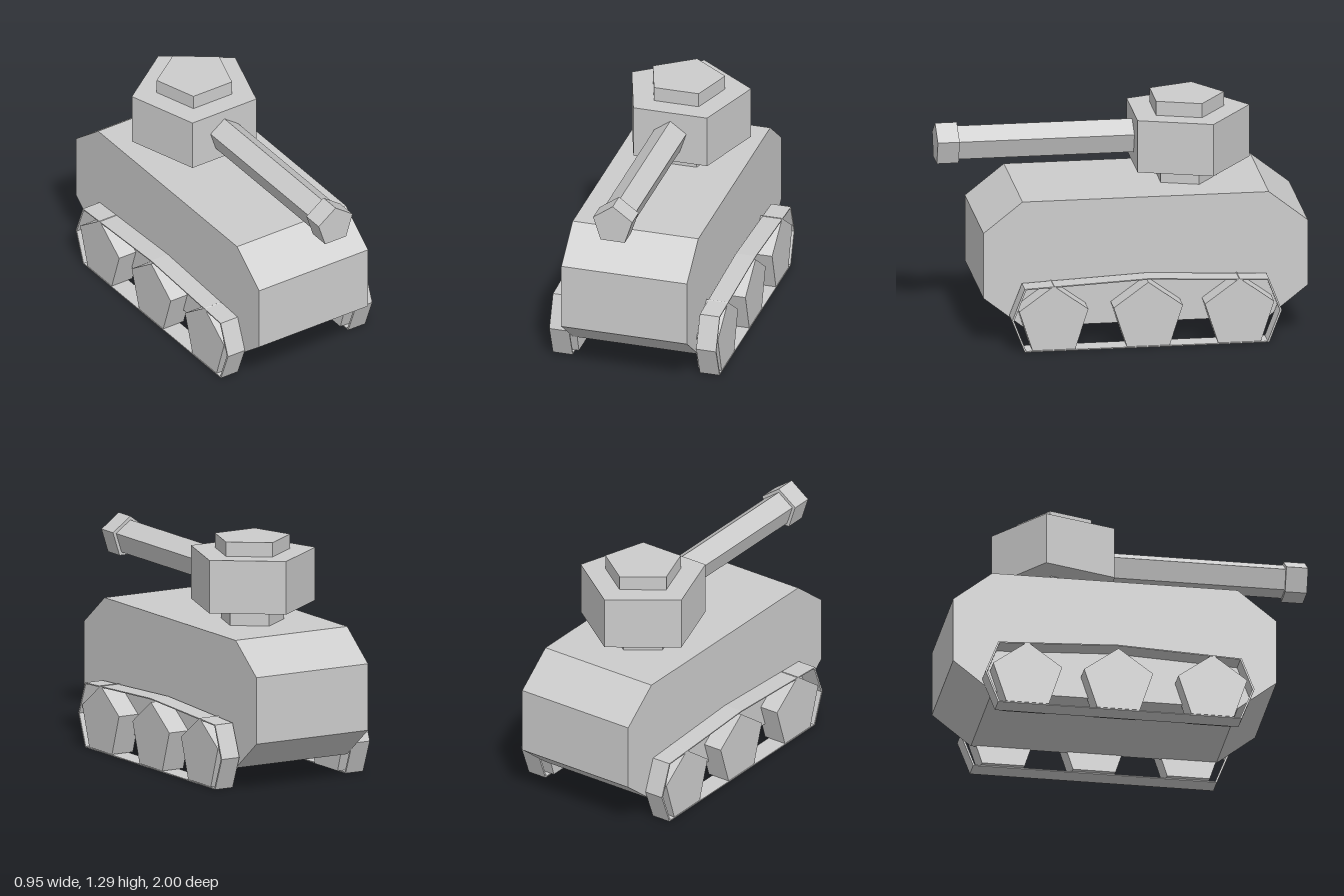
import * as THREE from 'three';

const material = new THREE.MeshStandardMaterial({ color: 0xcccccc, flatShading: true });

function addMesh(parent, name, geometry, x = 0, y = 0, z = 0) {
  const mesh = new THREE.Mesh(geometry, material);
  mesh.name = name;
  mesh.position.set(x, y, z);
  parent.add(mesh);
  return mesh;
}

const points = (list) => list.map(([a, b]) => new THREE.Vector2(a, b));

// Extrudes a side profile of [z, y] points along x, centred on x = 0
function sideExtrude(profile, width, hole) {
  const shape = new THREE.Shape(points(profile));
  if (hole) shape.holes.push(new THREE.Path(points(hole)));
  const geometry = new THREE.ExtrudeGeometry(shape, { depth: width, bevelEnabled: false });
  return geometry.translate(0, 0, -width / 2).rotateY(-Math.PI / 2);
}

// Five-sided prisms: upright ones point backwards, the others point up
const prism = (radius, length) => new THREE.CylinderGeometry(radius, radius, length, 5);
const uprightPrism = (r, h) => prism(r, h).rotateY(Math.PI);
const forwardPrism = (r, l) => prism(r, l).rotateX(-Math.PI / 2);
const sidewaysPrism = (r, w) => forwardPrism(r, w).rotateY(Math.PI / 2);

export function createModel() {
  const tank = new THREE.Group();
  tank.name = 'tank';
  const cx = -0.006;

  // Hull with chamfered nose and tail
  const hull = [
    [0.57, 0.11], [0.785, 0.28], [0.785, 0.65], [0.57, 0.82],
    [-0.785, 0.82], [-1, 0.65], [-1, 0.28], [-0.785, 0.11],
  ];
  addMesh(tank, 'hull', sideExtrude(hull, 0.715), cx);

  // Turret stack
  const turret = new THREE.Group();
  turret.name = 'turret';
  turret.position.set(cx, 0, -0.373);
  tank.add(turret);
  addMesh(turret, 'turretNeck', uprightPrism(0.181, 0.115), 0, 0.8675);
  addMesh(turret, 'turretBody', uprightPrism(0.357, 0.295), 0, 1.0625);
  addMesh(turret, 'hatch', uprightPrism(0.216, 0.09), 0, 1.245);

  // Gun
  const gun = new THREE.Group();
  gun.name = 'gun';
  gun.position.set(cx, 1.063, 0);
  tank.add(gun);
  addMesh(gun, 'barrel', forwardPrism(0.096, 1.06), 0, 0, 0.37);
  addMesh(gun, 'muzzle', forwardPrism(0.117, 0.12), 0, 0, 0.94);

  // Thin track loops with three wheels inside each
  const trackOuter = [
    [0.575, 0], [0.645, 0.18], [0.575, 0.36], [-0.105, 0.391],
    [-0.77, 0.36], [-0.84, 0.18], [-0.77, 0],
  ];
  const trackInner = [
    [0.567, 0.006], [0.634, 0.18], [0.567, 0.354], [-0.105, 0.385],
    [-0.762, 0.354], [-0.829, 0.18], [-0.762, 0.006],
  ];
  for (const [name, side] of [['left', 1], ['right', -1]]) {
    const running = new THREE.Group();
    running.name = `${name}RunningGear`;
    tank.add(running);
    addMesh(running, 'track', sideExtrude(trackOuter, 0.112, trackInner), side * 0.418);
    for (const z of [0.415, -0.105, -0.607]) {
      addMesh(running, 'wheel', sidewaysPrism(0.2, 0.134), side * 0.406, 0.17, z);
    }
  }

  return tank;
}
